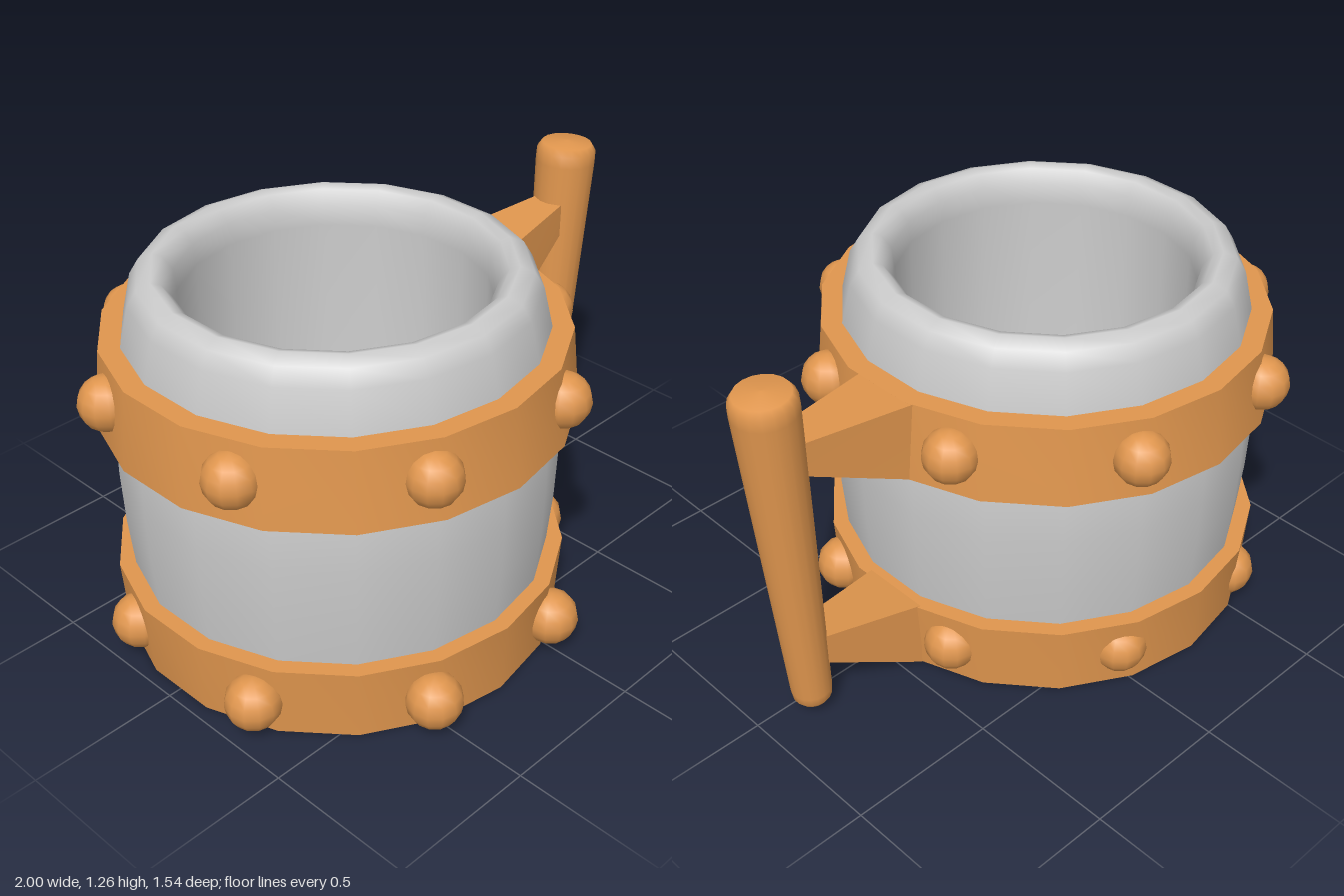
import * as THREE from 'three';
import { toCreasedNormals } from 'three/addons/utils/BufferGeometryUtils.js';

const CX = -0.255; // axis of the mug body
const SIDES = 18;

export function createModel() {
  const group = new THREE.Group();
  group.name = 'mug';
  const grey = new THREE.MeshStandardMaterial({ color: 0xcccccc });
  const wood = new THREE.MeshStandardMaterial({ color: 0xe0964e });

  const add = (name, geometry, material, x = 0, y = 0, z = 0) => {
    const mesh = new THREE.Mesh(geometry, material);
    mesh.name = name;
    mesh.position.set(x, y, z);
    group.add(mesh);
    return mesh;
  };
  const lathe = (points) =>
    new THREE.LatheGeometry(points.map(([r, y]) => new THREE.Vector2(r, y)), SIDES);

  // Hollow cup: up the outer wall, over the rounded rim, down to the floor
  add('cup', lathe([
    [0.66, 0.1], [0.675, 0.25], [0.69, 0.42], [0.697, 0.6], [0.695, 0.78],
    [0.655, 1.04], [0.625, 1.17], [0.595, 1.22], [0.55, 1.24], [0.52, 1.23],
    [0.49, 1.19], [0.482, 1.12], [0.482, 0.3], [0.42, 0.2], [0, 0.18],
  ]), grey, CX);

  // Two bands; the lower one closes the bottom
  const band = (points) => toCreasedNormals(lathe(points), 0.7);
  add('upperBand', band([[0.6, 0.78], [0.747, 0.78], [0.722, 1.04], [0.6, 1.04]]), wood, CX);
  add('lowerBand', band([[0, 0], [0.71, 0], [0.727, 0.25], [0.6, 0.25]]), wood, CX);

  // Round studs set evenly around each band
  const studs = (name, y, ringRadius, size, x, z) => {
    const geometry = new THREE.SphereGeometry(size, 12, 8);
    for (let i = 0; i < 8; i++) {
      const a = (i + 0.5) * Math.PI / 4;
      add(name, geometry, wood, x + Math.cos(a) * ringRadius, y, z + Math.sin(a) * ringRadius);
    }
  };
  studs('upperStud', 0.915, 0.725, 0.088, -0.25, -0.005);
  studs('lowerStud', 0.12, 0.705, 0.09, -0.265, 0.035);

  // Tapered arm: each end is [x at bottom, x at top, y bottom, y top, z back, z front]
  const arm = (name, inner, outer) => {
    const geometry = new THREE.BoxGeometry(1, 1, 1);
    const p = geometry.attributes.position;
    for (let i = 0; i < p.count; i++) {
      const [xb, xt, yb, yt, zb, zf] = p.getX(i) < 0 ? inner : outer;
      const top = p.getY(i) > 0;
      p.setXYZ(i, top ? xt : xb, top ? yt : yb, p.getZ(i) > 0 ? zf : zb);
    }
    add(name, toCreasedNormals(geometry, 0.5), wood);
  };
  arm('upperArm', [0.47, 0.42, 0.78, 1.038, -0.155, 0.085], [0.83, 0.83, 0.955, 1.06, -0.1, 0.005]);
  arm('lowerArm', [0.44, 0.44, 0.003, 0.25, -0.15, 0.09], [0.81, 0.81, 0.215, 0.315, -0.1, 0.005]);

  // Leaning grip, thicker at the top, with softened ends
  const length = 1.22;
  const grip = add('grip', lathe([
    [0, 0], [0.05, 0.002], [0.063, 0.02], [0.066, 0.05],
    [0.101, 1.15], [0.1, 1.19], [0.085, 1.213], [0, length],
  ]), wood, 0.815, 0.038, -0.05);
  grip.rotation.z = -Math.asin(0.08 / length);

  return group;
}
